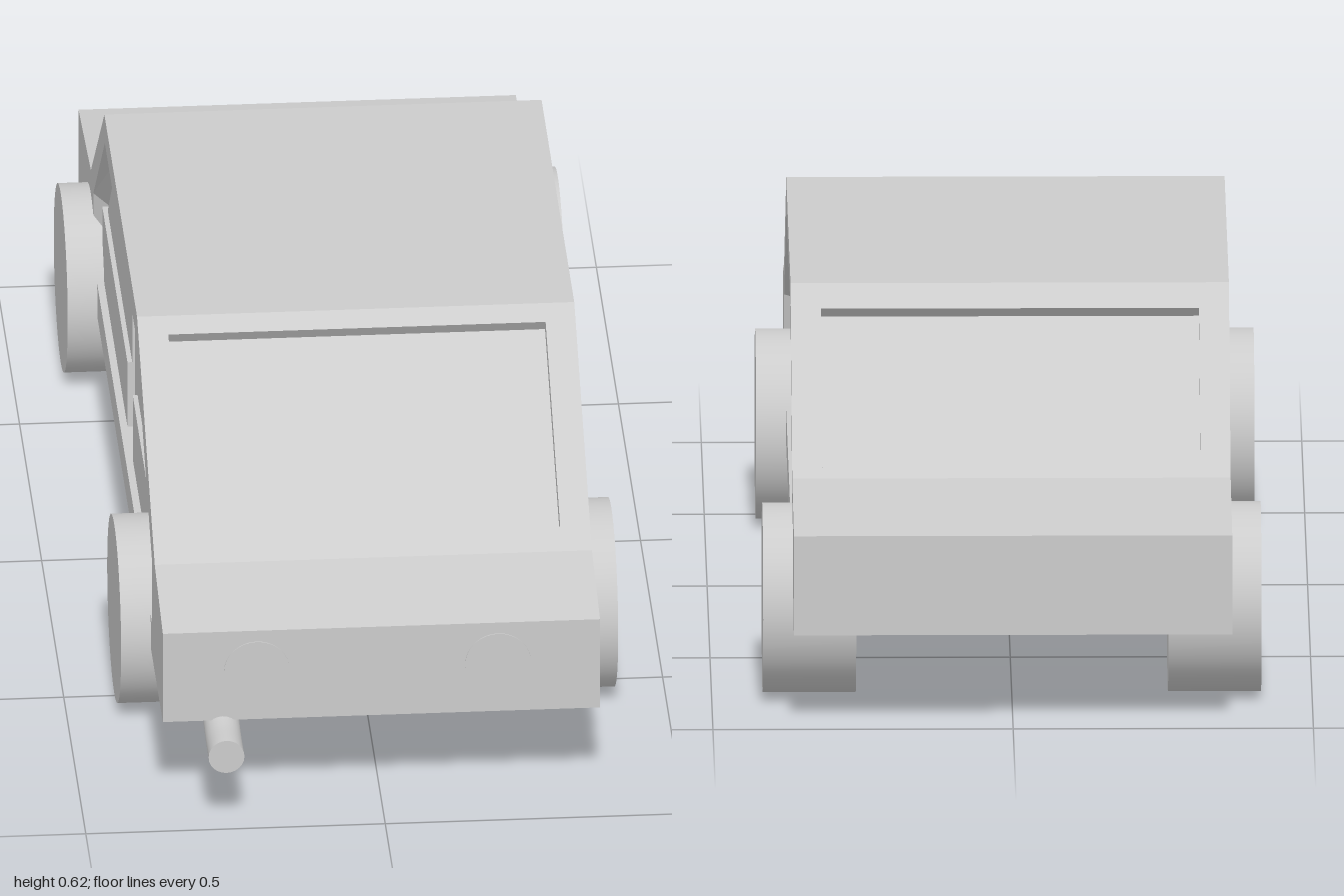
import * as THREE from 'three';

const material = new THREE.MeshStandardMaterial({ color: 0xcccccc });
const bevelMaterial = new THREE.MeshStandardMaterial({ color: 0xcccccc, side: THREE.DoubleSide });

const HALF = 0.365;   // half width of the body
const FLOOR = 0.34;   // x of the recessed side floor
const PANE = 0.315;   // half width of the windscreens

// Side outlines are listed as [z, y]
const FRONT_LOW = [[0.914, 0.16], [0.914, 0.325], [0.73, 0.36]];
const ROOF = [[0.33, 0.62], [-0.41, 0.62]];
const REAR_LOW = [[-0.715, 0.36], [-0.995, 0.33], [-0.995, 0.16]];
const FRONT_NOTCH = [[0.69, 0.386], [0.677, 0.366], [0.347, 0.58], [0.36, 0.6]];
const REAR_NOTCH = [[-0.45, 0.586], [-0.436, 0.569], [-0.671, 0.369], [-0.685, 0.386]];
const RECESS_OUTER = [[0.67, 0.22], [0.67, 0.335], [0.3, 0.572], [-0.4, 0.572], [-0.66, 0.345], [-0.66, 0.22]];
const RECESS_INNER = [[0.64, 0.22], [0.64, 0.335], [0.28, 0.555], [-0.385, 0.555], [-0.62, 0.34], [-0.62, 0.22]];

const toPoints = (list) => list.map(([z, y]) => new THREE.Vector2(z, y));

function add(group, name, geometry, mat = material) {
  const mesh = new THREE.Mesh(geometry, mat);
  mesh.name = name;
  group.add(mesh);
  return mesh;
}

// Side outline extruded across the car from x0 to x1
function slab(outline, x0, x1, hole) {
  const shape = new THREE.Shape(toPoints(outline));
  if (hole) shape.holes.push(new THREE.Path(toPoints(hole)));
  const geometry = new THREE.ExtrudeGeometry(shape, { depth: x1 - x0, bevelEnabled: false });
  return geometry.rotateY(-Math.PI / 2).translate(x1, 0, 0);
}

// Slab on either side of the car, given by distances from the centre line
function sideSlab(outline, side, near, far, hole) {
  return side > 0 ? slab(outline, near, far, hole) : slab(outline, -far, -near, hole);
}

// Sloping rim between the body side and the recessed floor
function recessRim(side) {
  const positions = [];
  RECESS_OUTER.forEach((outer, i) => {
    const j = (i + 1) % RECESS_OUTER.length;
    const a = [side * HALF, outer[1], outer[0]];
    const b = [side * HALF, RECESS_OUTER[j][1], RECESS_OUTER[j][0]];
    const c = [side * FLOOR, RECESS_INNER[j][1], RECESS_INNER[j][0]];
    const d = [side * FLOOR, RECESS_INNER[i][1], RECESS_INNER[i][0]];
    const quad = side > 0 ? [a, d, b, b, d, c] : [a, b, d, b, c, d];
    positions.push(...quad.flat());
  });
  const geometry = new THREE.BufferGeometry();
  geometry.setAttribute('position', new THREE.Float32BufferAttribute(positions, 3));
  geometry.computeVertexNormals();
  return geometry;
}

export function createModel() {
  const car = new THREE.Group();
  car.name = 'car';

  // Body centre with sunken windscreen and rear window
  const centre = [...FRONT_LOW, ...FRONT_NOTCH, ...ROOF, ...REAR_NOTCH, ...REAR_LOW];
  add(car, 'bodyCentre', slab(centre, -PANE, PANE));

  const outline = [...FRONT_LOW, ...ROOF, ...REAR_LOW];
  for (const side of [1, -1]) {
    const label = side > 0 ? 'left' : 'right';
    const group = new THREE.Group();
    group.name = label + 'Side';
    car.add(group);

    // Body side with its recess
    add(group, 'bodyInnerSide', sideSlab(outline, side, PANE, FLOOR));
    add(group, 'bodySide', sideSlab(outline, side, FLOOR, HALF, RECESS_OUTER));
    add(group, 'recessRim', recessRim(side), bevelMaterial);

    // Doors and side windows, leaving a sunken pillar between them
    const doors = {
      frontDoor: [[0.07, 0.22], [0.64, 0.22], [0.64, 0.335], [0.07, 0.34]],
      rearDoor: [[-0.05, 0.22], [-0.62, 0.22], [-0.62, 0.34], [-0.05, 0.34]],
    };
    const windows = {
      frontSideWindow: [[0.07, 0.335], [0.63, 0.335], [0.28, 0.552], [0.07, 0.552]],
      rearSideWindow: [[-0.05, 0.335], [-0.61, 0.335], [-0.382, 0.552], [-0.05, 0.552]],
    };
    for (const [name, shape] of Object.entries(doors)) add(group, name, sideSlab(shape, side, FLOOR - 0.005, FLOOR + 0.013));
    for (const [name, shape] of Object.entries(windows)) add(group, name, sideSlab(shape, side, FLOOR - 0.005, FLOOR + 0.005));

    // Wheels
    for (const [name, z] of [['frontWheel', 0.49], ['rearWheel', -0.72]]) {
      const wheel = new THREE.CylinderGeometry(0.158, 0.158, 0.155, 48).rotateZ(Math.PI / 2);
      add(group, name, wheel).position.set(side * 0.3375, 0.158, z);
    }

    // Round lamp set almost flush in the end face
    const lamp = new THREE.CylinderGeometry(0.055, 0.055, 0.02, 32).rotateX(Math.PI / 2);
    add(group, 'lamp', lamp).position.set(side * 0.2015 - 0.0065, 0.25, 0.906);
  }

  // Bent exhaust pipe with a closed end
  const pipe = new THREE.Group();
  pipe.name = 'exhaustPipe';
  car.add(pipe);
  const path = new THREE.CatmullRomCurve3([
    new THREE.Vector3(-0.265, 0.135, 1),
    new THREE.Vector3(-0.265, 0.135, 0.93),
    new THREE.Vector3(-0.265, 0.148, 0.86),
    new THREE.Vector3(-0.265, 0.19, 0.74),
  ]);
  add(pipe, 'pipe', new THREE.TubeGeometry(path, 16, 0.03, 24));
  add(pipe, 'pipeEnd', new THREE.CircleGeometry(0.03, 24)).position.set(-0.265, 0.135, 1);

  return car;
}
